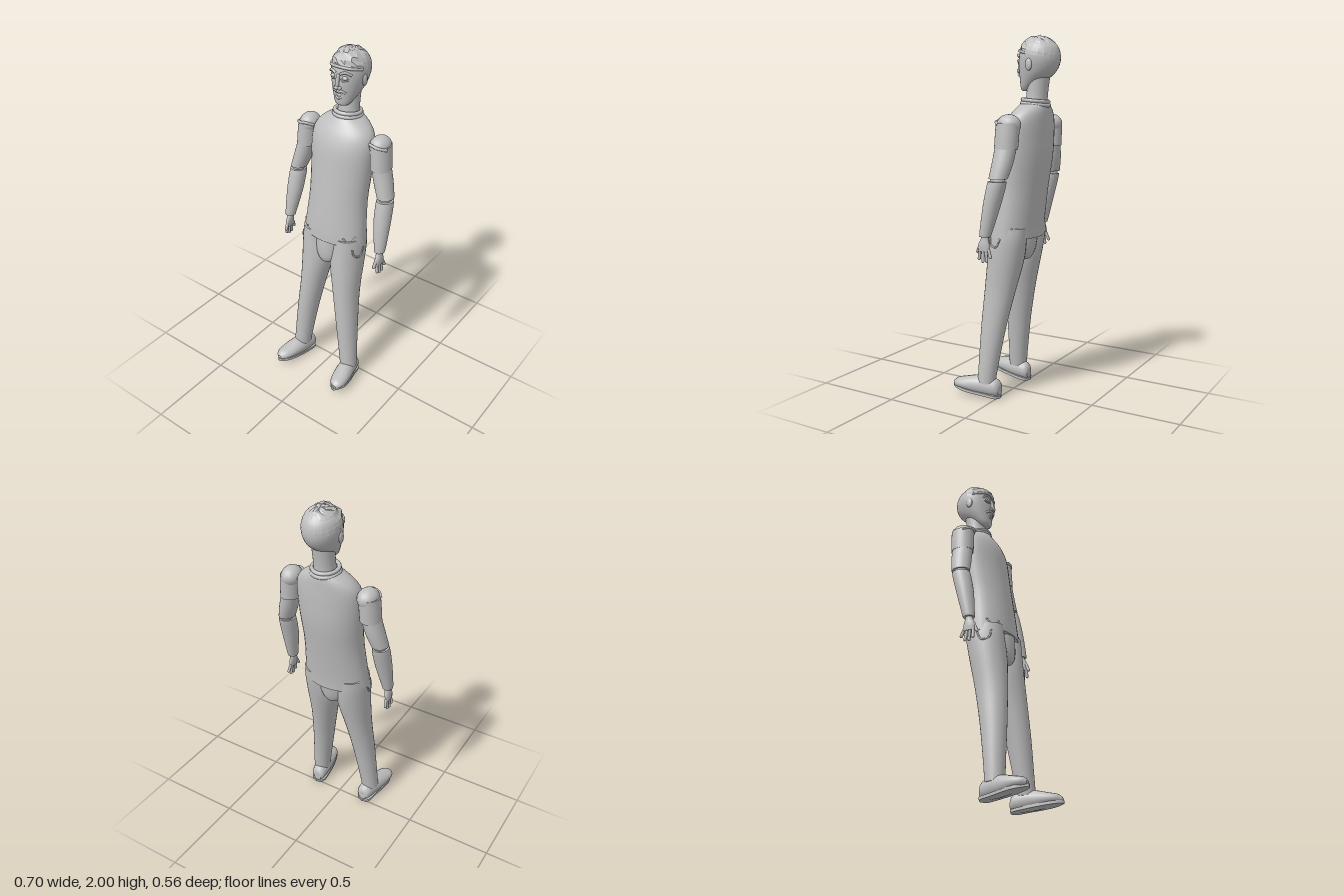
import * as THREE from 'three';

const grey = new THREE.MeshStandardMaterial({ color: 0xbfbfbf });
grey.name = 'plain grey';
const V = (x, y, z) => new THREE.Vector3(x, y, z);

// Smooth capped body through elliptical sections [y, centreX, centreZ, radiusX, radiusZ, tilt]
function loft(sections, { seg = 28, sub = 3 } = {}) {
  const pos = [], idx = [], rings = [];
  const n = sections.length;
  const at = (i, k) => sections[Math.min(n - 1, Math.max(0, i))][k] ?? 0;
  for (let i = 0; i < n - 1; i++) {
    for (let s = 0; s < sub || (i === n - 2 && s === sub); s++) {
      const t = s / sub;
      rings.push([0, 1, 2, 3, 4, 5].map((k) => {
        const a = at(i - 1, k), b = at(i, k), c = at(i + 1, k), d = at(i + 2, k);
        return b + 0.5 * t * (c - a + t * (2 * a - 5 * b + 4 * c - d + t * (3 * (b - c) + d - a)));
      }));
    }
  }
  const addRing = ([y, cx, cz, rx, rz, tilt]) => {
    const start = pos.length / 3;
    for (let j = 0; j < seg; j++) {
      const a = (j / seg) * Math.PI * 2, dz = Math.cos(a) * rz;
      pos.push(cx + Math.sin(a) * rx, y + tilt * dz, cz + dz);
    }
    return start;
  };
  const starts = rings.map(addRing);
  for (let i = 0; i < starts.length - 1; i++) {
    for (let j = 0; j < seg; j++) {
      const k = (j + 1) % seg, a = starts[i], b = starts[i + 1];
      idx.push(a + j, a + k, b + j, a + k, b + k, b + j);
    }
  }
  // Separate cap vertices keep the rims sharp
  [[rings[0], false], [rings[rings.length - 1], true]].forEach(([ring, top]) => {
    const s = addRing(ring), c = pos.length / 3;
    pos.push(ring[1], ring[0], ring[2]);
    for (let j = 0; j < seg; j++) {
      const k = (j + 1) % seg;
      if (top) idx.push(c, s + j, s + k);
      else idx.push(c, s + k, s + j);
    }
  });
  const g = new THREE.BufferGeometry();
  g.setAttribute('position', new THREE.Float32BufferAttribute(pos, 3));
  g.setIndex(idx);
  g.computeVertexNormals();
  return g;
}

function add(parent, name, geometry) {
  const m = new THREE.Mesh(geometry, grey);
  m.name = name;
  parent.add(m);
  return m;
}

const ball = (x, y, z, rx, ry, rz) =>
  new THREE.SphereGeometry(1, 16, 12).scale(rx, ry, rz).translate(x, y, z);

const tube = (points, r) =>
  new THREE.TubeGeometry(new THREE.CatmullRomCurve3(points), 14, r, 8);

// Rounded rod between two points
function rod(a, b, r) {
  const d = b.clone().sub(a);
  const g = new THREE.CapsuleGeometry(r, d.length(), 4, 8);
  g.applyQuaternion(new THREE.Quaternion().setFromUnitVectors(V(0, 1, 0), d.normalize()));
  return g.translate((a.x + b.x) / 2, (a.y + b.y) / 2, (a.z + b.z) / 2);
}

function makeArm(s) {
  const arm = new THREE.Group();
  arm.name = s > 0 ? 'leftArm' : 'rightArm';
  add(arm, 'shoulderCap', ball(s * 0.232, 1.53, -0.108, 0.056, 0.056, 0.068));
  add(arm, 'sleeve', loft([
    [1.405, s * 0.246, -0.1, 0.056, 0.065], [1.47, s * 0.242, -0.103, 0.056, 0.066],
    [1.54, s * 0.238, -0.106, 0.054, 0.066]]));
  add(arm, 'sleeveFold', tube([V(s * 0.185, 1.535, -0.075), V(s * 0.21, 1.552, -0.045),
    V(s * 0.255, 1.545, -0.045), V(s * 0.29, 1.53, -0.08)], 0.008));
  add(arm, 'upperArm', loft([
    [1.253, s * 0.294, -0.08, 0.045, 0.052], [1.33, s * 0.27, -0.092, 0.051, 0.058],
    [1.42, s * 0.246, -0.1, 0.051, 0.06]]));
  add(arm, 'elbow', ball(s * 0.295, 1.245, -0.078, 0.036, 0.025, 0.042));
  add(arm, 'forearm', loft([
    [0.945, s * 0.313, -0.012, 0.027, 0.03], [0.96, s * 0.314, -0.014, 0.031, 0.034],
    [1.1, s * 0.302, -0.043, 0.046, 0.047], [1.2, s * 0.297, -0.067, 0.048, 0.052],
    [1.238, s * 0.296, -0.076, 0.045, 0.051]]));
  add(arm, 'palm', loft([
    [0.865, s * 0.32, -0.008, 0.012, 0.034], [0.9, s * 0.318, -0.006, 0.016, 0.034],
    [0.935, s * 0.314, -0.01, 0.016, 0.022], [0.96, s * 0.313, -0.012, 0.018, 0.02]], { seg: 14 }));
  for (let i = 0; i < 4; i++) {
    const z = 0.018 - i * 0.018, low = [0.825, 0.812, 0.815, 0.838][i];
    add(arm, 'finger', rod(V(s * 0.319, 0.875, z), V(s * 0.324, low, z * 1.3 - 0.003), 0.0085));
  }
  add(arm, 'thumb', rod(V(s * 0.315, 0.905, 0.018), V(s * 0.312, 0.86, 0.037), 0.009));
  return arm;
}

function makeLeg(s) {
  const leg = new THREE.Group();
  leg.name = s > 0 ? 'leftLeg' : 'rightLeg';
  add(leg, 'trouserLeg', loft([
    [0.085, s * 0.177, 0.073, 0.05, 0.052], [0.2, s * 0.165, 0.064, 0.055, 0.058],
    [0.4, s * 0.142, 0.046, 0.063, 0.073], [0.6, s * 0.117, 0.02, 0.074, 0.09],
    [0.78, s * 0.1, -0.008, 0.095, 0.105], [0.9, s * 0.106, -0.024, 0.089, 0.11],
    [0.97, s * 0.107, -0.03, 0.08, 0.11]]));
  add(leg, 'pocketRim', tube([V(s * 0.17, 0.925, 0.045), V(s * 0.181, 0.88, 0.04),
    V(s * 0.194, 0.865, 0.0), V(s * 0.195, 0.915, -0.03)], 0.005));
  // Shoe upper is built along its length, then laid down
  add(leg, 'shoe', loft([
    [-0.008, s * 0.166, -0.045, 0.025, 0.03], [0.01, s * 0.168, -0.055, 0.042, 0.048],
    [0.07, s * 0.176, -0.062, 0.05, 0.056], [0.13, s * 0.187, -0.064, 0.054, 0.052],
    [0.2, s * 0.2, -0.064, 0.051, 0.036], [0.245, s * 0.207, -0.063, 0.038, 0.026],
    [0.267, s * 0.21, -0.058, 0.014, 0.012]], { seg: 20 }).rotateX(Math.PI / 2));
  const outline = new THREE.Shape(new THREE.SplineCurve([
    [0.17, -0.014], [0.208, 0.005], [0.222, 0.07], [0.243, 0.16], [0.243, 0.22], [0.212, 0.278],
    [0.172, 0.25], [0.145, 0.18], [0.13, 0.09], [0.128, 0.01], [0.17, -0.014],
  ].map(([x, z]) => new THREE.Vector2(s * x, -z))).getPoints(40));
  const sole = new THREE.ExtrudeGeometry(outline, { depth: 0.016, bevelEnabled: false });
  sole.rotateX(-Math.PI / 2).rotateX(-0.13).translate(0, 0.002, 0);
  add(leg, 'sole', sole);
  return leg;
}

function makeHead() {
  const head = new THREE.Group();
  head.name = 'head';
  add(head, 'neck', loft([
    [1.61, 0, -0.14, 0.064, 0.064], [1.69, 0, -0.148, 0.057, 0.058],
    [1.8, 0, -0.16, 0.06, 0.062]]));
  add(head, 'skull', loft([
    [1.708, 0, -0.088, 0.026, 0.022], [1.722, 0, -0.094, 0.045, 0.04],
    [1.77, 0, -0.128, 0.07, 0.078], [1.81, 0, -0.15, 0.085, 0.104],
    [1.86, 0, -0.162, 0.097, 0.116], [1.91, 0, -0.164, 0.098, 0.112],
    [1.95, 0, -0.164, 0.083, 0.093], [1.978, 0, -0.163, 0.045, 0.05]]));

  // Faceted, tousled hair that is rough on top and smooth behind
  const hair = new THREE.SphereGeometry(1, 20, 8, 0, Math.PI * 2, 0, 1.5);
  const p = hair.attributes.position;
  for (let i = 0; i < p.count; i++) {
    const x = p.getX(i), y = p.getY(i), z = p.getZ(i);
    const rough = 0.07 * THREE.MathUtils.smoothstep(z + y, 0.1, 0.9);
    const k = 1 + rough * Math.sin(17 * x + 9 * z + 23 * y) * Math.cos(13 * z - 6 * x);
    p.setXYZ(i, x * k, y * k, z * k);
  }
  hair.scale(0.102, 0.109, 0.119).rotateX(-0.2).translate(0, 1.889, -0.161);
  const faceted = hair.toNonIndexed();
  faceted.computeVertexNormals();
  add(head, 'hair', faceted);
  add(head, 'quiff', new THREE.IcosahedronGeometry(1, 1).scale(0.05, 0.022, 0.04).rotateX(0.3).translate(0, 1.974, -0.128));
  add(head, 'hairline', tube([-0.095, -0.06, 0, 0.06, 0.095].map((x) =>
    V(x, 1.925 - 2 * x * x, -0.164 + 0.114 * Math.sqrt(1 - (x / 0.1) ** 2))), 0.008));

  // Face
  for (const s of [-1, 1]) {
    add(head, 'eyebrow', tube([V(s * 0.014, 1.889, -0.046), V(s * 0.04, 1.9, -0.052), V(s * 0.066, 1.884, -0.075)], 0.007));
    add(head, 'eye', ball(s * 0.036, 1.868, -0.058, 0.016, 0.011, 0.012));
    add(head, 'lowerLid', tube([V(s * 0.016, 1.862, -0.047), V(s * 0.036, 1.852, -0.052), V(s * 0.056, 1.862, -0.065)], 0.004));
    add(head, 'nostril', ball(s * 0.012, 1.814, -0.042, 0.011, 0.01, 0.012));
    add(head, 'moustache', tube([V(0, 1.797, -0.04), V(s * 0.02, 1.798, -0.045), V(s * 0.038, 1.785, -0.065)], 0.007));
    add(head, 'ear', ball(s * 0.097, 1.845, -0.148, 0.009, 0.032, 0.02));
  }
  add(head, 'noseBridge', rod(V(0, 1.875, -0.048), V(0, 1.824, -0.037), 0.0105));
  add(head, 'noseTip', ball(0, 1.818, -0.036, 0.013, 0.012, 0.014));
  for (const [name, y, drop] of [['upperLip', 1.777, 0.002], ['lowerLip', 1.764, 0.01]]) {
    add(head, name, tube([V(-0.03, y + drop, -0.066), V(0, y - drop, -0.049), V(0.03, y + drop, -0.066)], 0.006));
  }
  add(head, 'chin', ball(0, 1.728, -0.074, 0.024, 0.017, 0.018));
  return head;
}

export function createModel() {
  const model = new THREE.Group();
  model.name = 'standingMan';

  // Shirt with a slanted hem
  add(model, 'shirt', loft([
    [0.925, 0, -0.03, 0.196, 0.126, 0.13], [1.0, 0, -0.036, 0.19, 0.126, 0.12],
    [1.18, 0, -0.06, 0.176, 0.128, 0.08], [1.35, 0, -0.085, 0.184, 0.129, 0.04],
    [1.48, 0, -0.097, 0.19, 0.122], [1.555, 0, -0.11, 0.18, 0.108],
    [1.605, 0, -0.125, 0.14, 0.092], [1.64, 0, -0.135, 0.082, 0.078]], { seg: 36 }));
  for (const [y, r] of [[1.638, 0.074], [1.657, 0.07]]) {
    const collar = new THREE.TorusGeometry(r, 0.011, 10, 32);
    add(model, 'collar', collar.rotateX(Math.PI / 2 - 0.1).translate(0, y, -0.138));
  }

  // Small curved flaps on the hem, front and back
  for (const s of [-1, 1]) {
    for (const f of [1, -1]) {
      const pts = [0.12, 0.145, 0.175].map((x, i) =>
        V(s * x, [0.99, 0.953, 0.995][i] - (f < 0 ? 0.02 : 0), -0.034 + f * 0.127 * Math.sqrt(1 - (x / 0.192) ** 2)));
      add(model, 'hemFlap', tube(pts, 0.005));
    }
    model.add(makeArm(s), makeLeg(s));
  }

  // Rounded seat piece joining the legs
  add(model, 'pelvis', loft([
    [0.778, 0, -0.015, 0.035, 0.075], [0.79, 0, -0.014, 0.065, 0.095],
    [0.83, 0, -0.017, 0.093, 0.111], [0.9, 0, -0.024, 0.101, 0.118],
    [0.96, 0, -0.03, 0.101, 0.118]]));

  model.add(makeHead());
  return model;
}
